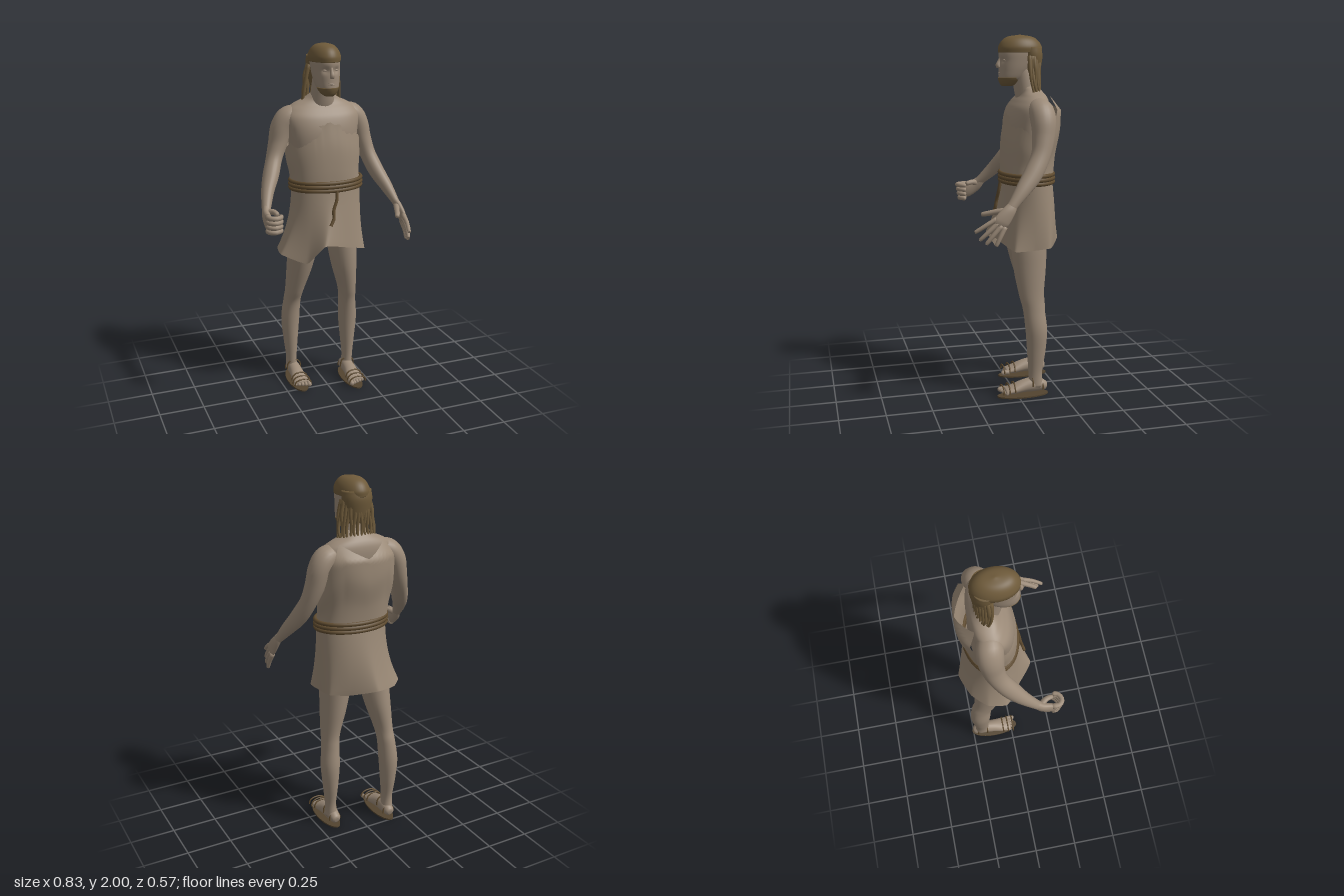
import * as THREE from 'three';

const V = (x, y, z) => new THREE.Vector3(x, y, z);
const X = V(1, 0, 0), Y = V(0, 1, 0), Z = V(0, 0, 1);
const mat = (name, color, side = THREE.FrontSide) => {
  const m = new THREE.MeshStandardMaterial({ color, side });
  m.name = name;
  return m;
};

// Sweep an oval through stations [x, y, z, ru, rv]; `flat` keeps sections level (stations go up).
function sweep(stations, o = {}) {
  const { n = 24, rows = 24, ref = X, flat = false, e = 2, caps = true, warp } = o;
  const path = new THREE.CatmullRomCurve3(stations.map(s => V(s[0], s[1], s[2])), false, 'catmullrom', 0.5);
  const radii = new THREE.CatmullRomCurve3(stations.map(s => V(s[3], s[4], 0)), false, 'catmullrom', 0.5);
  const pos = [], idx = [];
  const pw = c => Math.sign(c) * Math.pow(Math.abs(c), 2 / e);
  for (let i = 0; i <= rows; i++) {
    const f = i / rows, c = path.getPoint(f), r = radii.getPoint(f);
    const t = flat ? Y.clone() : path.getTangent(f);
    const u = ref.clone().addScaledVector(t, -t.dot(ref)).normalize();
    const v = u.clone().cross(t);
    for (let j = 0; j < n; j++) {
      const a = j / n * Math.PI * 2;
      const p = c.clone().addScaledVector(u, pw(Math.cos(a)) * r.x).addScaledVector(v, pw(Math.sin(a)) * r.y);
      if (warp) warp(p, a, f);
      pos.push(p.x, p.y, p.z);
      if (i < rows) {
        const k = (j + 1) % n, b = i * n, d = b + n;
        idx.push(b + j, d + j, b + k, b + k, d + j, d + k);
      }
    }
  }
  if (caps) {
    const s = stations[0], l = stations[stations.length - 1], q = pos.length / 3, b = rows * n;
    pos.push(s[0], s[1], s[2], l[0], l[1], l[2]);
    for (let j = 0; j < n; j++) {
      const k = (j + 1) % n;
      idx.push(q, j, k, q + 1, b + k, b + j);
    }
  }
  const g = new THREE.BufferGeometry();
  g.setAttribute('position', new THREE.Float32BufferAttribute(pos, 3));
  g.setIndex(idx);
  g.computeVertexNormals();
  return g;
}

// Piecewise-linear lookup in a table of [key, value]
function lookup(table, k) {
  for (let i = 1; i < table.length; i++) {
    const [a, va] = table[i - 1], [b, vb] = table[i];
    if (k <= b) return va + (vb - va) * (k - a) / (b - a);
  }
  return table[table.length - 1][1];
}

export function createModel() {
  const root = new THREE.Group();
  const skin = mat('tanSkin', 0x9b8a78);
  const cloth = mat('tanCloth', 0x9a8976, THREE.DoubleSide);
  const hair = mat('brownHair', 0x6e5a3a);
  const rope = mat('brownRope', 0x5f4b2f);
  const leather = mat('darkLeather', 0x53442f);
  const add = (name, geo, m) => {
    const mesh = new THREE.Mesh(geo, m);
    mesh.name = name;
    root.add(mesh);
    return mesh;
  };
  const tube = (name, pts, r, m, closed = false) =>
    add(name, new THREE.TubeGeometry(new THREE.CatmullRomCurve3(pts, closed), closed ? 80 : 20, r, 8, closed), m);
  // Tapering round digit or strand
  const digit = (name, pts, r, m = skin, ref = X, tip = 0.7) => {
    const l = pts.length - 1;
    const st = pts.map((p, i) => [...p, r * (1 - (1 - tip) * i / l), r * (1 - (1 - tip) * i / l)]);
    const a = pts[l - 1], b = pts[l], d = V(...b).sub(V(...a)).setLength(r * 0.4);
    st.push([b[0] + d.x, b[1] + d.y, b[2] + d.z, r * 0.2, r * 0.2]);
    add(name, sweep(st, { n: 10, rows: 12, ref }), m);
  };

  // Torso with sloping shoulders, and neck
  add('torso', sweep([[0, 1.2, -.08, .17, .11], [0, 1.4, -.083, .185, .117], [0, 1.52, -.08, .2, .114],
    [0, 1.6, -.092, .212, .106], [0, 1.645, -.105, .195, .09], [0, 1.675, -.112, .155, .073],
    [0, 1.7, -.108, .1, .06], [0, 1.73, -.095, .058, .052]],
    { flat: true, e: 2.3, n: 48, rows: 42 }), skin);
  add('neck', sweep([[0, 1.64, -.105, .08, .07], [0, 1.7, -.085, .068, .064], [0, 1.82, -.06, .06, .058]], { flat: true }), skin);

  // Head with hollow eye sockets
  add('head', sweep([[0, 1.735, .022, .03, .032], [0, 1.765, 0, .055, .067], [0, 1.81, -.02, .068, .086],
    [0, 1.86, -.035, .074, .1], [0, 1.91, -.045, .076, .112], [0, 1.96, -.05, .068, .1], [0, 1.985, -.05, .04, .06]],
    { flat: true, e: 2.1, n: 56, rows: 48, warp: p => {
      if (p.z > 0) p.z -= .011 * Math.exp(-(((Math.abs(p.x) - .03) / .018) ** 2) - ((p.y - 1.864) / .016) ** 2);
    } }), skin);
  add('nose', sweep([[0, 1.885, .056, .008, .008], [0, 1.86, .064, .009, .01], [0, 1.838, .072, .013, .013],
    [0, 1.826, .066, .012, .01]], { n: 14, rows: 12 }), skin);
  for (const s of [-1, 1]) {
    const eye = add('eye', new THREE.SphereGeometry(.011, 14, 10), skin);
    eye.position.set(s * .03, 1.864, .043);
    eye.scale.set(1.2, .6, .8);
  }
  [1.797, 1.789].forEach(y => {
    const lip = add('lip', new THREE.SphereGeometry(.02, 14, 8), skin);
    lip.position.set(0, y, .06);
    lip.scale.set(1, .25, .5);
  });
  add('beard', sweep([[0, 1.727, .022, .026, .03], [0, 1.74, .014, .042, .048], [0, 1.758, .007, .054, .062],
    [0, 1.773, .002, .06, .07]], { flat: true, rows: 12 }), hair);

  // Hair cap, back hair and hanging locks
  add('hairCap', sweep([[0, 1.905, -.052, .083, .122], [0, 1.935, -.052, .084, .121], [0, 1.968, -.051, .069, .102],
    [0, 1.99, -.05, .044, .068], [0, 2, -.05, .004, .006]], { flat: true, n: 40, rows: 30 }), hair);
  add('backHair', sweep([[0, 1.77, -.112, .058, .045], [0, 1.83, -.11, .074, .058], [0, 1.89, -.108, .083, .067],
    [0, 1.935, -.1, .081, .066]], { flat: true, rows: 14 }), hair);
  for (let i = 0; i <= 16; i++) {
    const a = Math.PI * i / 16, c = Math.cos(a), s = Math.sin(a), low = 1.675 + .03 * Math.sin(i * 2.4);
    const sway = .006 * Math.sin(i * 4.1);
    digit('hairLock', [[.076 * c, 1.885, -.085 - .065 * s], [.093 * c + sway, 1.82, -.083 - .075 * s],
      [.102 * c - sway, 1.745, -.09 - .065 * s], [.11 * c + sway, low, -.105 - .055 * s]], .0125, hair, Z, .45);
  }

  // Arms: shoulders mirror, forearms differ
  const arm = (name, s, fore) => add(name, sweep([[s * .11, 1.615, -.105, .05, .045], [s * .18, 1.605, -.115, .068, .06],
    [s * .223, 1.55, -.12, .069, .06], [s * .25, 1.46, -.113, .06, .052], ...fore], { ref: Z, rows: 40 }), skin);
  arm('leftArm', 1, [[.278, 1.37, -.09, .052, .044], [.31, 1.28, -.04, .051, .043], [.345, 1.2, .025, .04, .034],
    [.37, 1.135, .08, .028, .023], [.379, 1.11, .1, .028, .018]]);
  arm('rightArm', -1, [[-.28, 1.38, -.09, .052, .044], [-.315, 1.3, -.04, .051, .043], [-.352, 1.23, .02, .04, .034],
    [-.38, 1.165, .085, .028, .025], [-.389, 1.14, .11, .028, .02]]);

  // Open left hand
  add('leftPalm', sweep([[.37, 1.135, .08, .024, .019], [.383, 1.1, .108, .034, .02], [.39, 1.055, .145, .041, .018],
    [.391, 1.03, .168, .034, .012]], { ref: Z }), skin);
  [[[.386, 1.065, .172], [.384, 1.035, .225], [.372, 1.0, .28]], [[.39, 1.045, .165], [.39, 1.0, .215], [.38, .96, .258]],
    [[.393, 1.03, .15], [.397, .98, .195], [.392, .94, .228]], [[.394, 1.022, .132], [.403, .97, .16], [.404, .93, .18]]]
    .forEach(p => digit('leftFinger', p, .014));
  digit('leftThumb', [[.374, 1.105, .105], [.352, 1.097, .16], [.334, 1.087, .205], [.32, 1.08, .235]], .017, skin, Y);

  // Curled right hand
  add('rightPalm', sweep([[-.38, 1.165, .085, .025, .022], [-.392, 1.13, .12, .036, .023], [-.398, 1.107, .165, .045, .02],
    [-.4, 1.1, .195, .044, .014]], { ref: Y }), skin);
  for (let i = 0; i < 4; i++) {
    const y = 1.138 - i * .026, k = i * .004;
    digit('rightFinger', [[-.402, y, .175], [-.4, y, .215 - k], [-.372, y, .232 - k], [-.342, y, .217 - k], [-.334, y, .193]],
      .0152, skin, Y, .8);
  }
  digit('rightThumb', [[-.385, 1.142, .115], [-.362, 1.152, .145], [-.35, 1.146, .18]], .018, skin, Y);

  // Legs, feet and sandals; the right leg stands further back
  for (const s of [1, -1]) {
    const side = s > 0 ? 'left' : 'right', back = y => s > 0 ? 0 : -.088 * Math.min(1, Math.max(0, (.97 - y) / .47));
    add(side + 'Leg', sweep([[.16, .05, -.105, .034, .045], [.163, .13, -.1, .031, .039], [.165, .25, -.105, .042, .052],
      [.165, .38, -.105, .053, .061], [.157, .5, -.092, .049, .062], [.15, .58, -.08, .052, .07],
      [.13, .72, -.075, .071, .09], [.115, .86, -.075, .084, .1], [.1, 1, -.08, .085, .105]]
      .map(([x, y, z, a, b]) => [s * x, y, z + back(y), a, b]), { flat: true, rows: 48, n: 28 }), skin);
    const dz = s > 0 ? 0 : -.08, x = s * .157;
    add(side + 'Foot', sweep([[x, .045, -.168, .014, .014], [x, .048, -.155, .028, .028], [x, .06, -.1, .036, .042],
      [x, .055, -.035, .039, .036], [x, .041, .03, .046, .024], [x, .034, .075, .045, .015]]
      .map(p => [p[0], p[1], p[2] + dz, p[3], p[4]]), { rows: 30 }), skin);
    for (let i = 0; i < 5; i++) {
      const tx = x + s * (i - 2) * .019, tz = .102 - i * .007 + dz;
      digit('toe', [[tx, .034, .06 + dz], [tx, .034, tz - .015], [tx, .028, tz]], i ? .0105 : .014, skin, X, .85);
    }
    const sole = add(side + 'Sole', new THREE.CylinderGeometry(1, 1, .008, 40), leather);
    sole.scale.set(.054, 1, .147);
    sole.position.set(x, .004, -.03 + dz);
    for (const [z, low, h, w] of [[.09, .03, .064, .05], [.057, .03, .071, .051], [.025, .035, .077, .047],
      [-.08, .06, .112, .042], [-.14, .035, .075, .034]])
      tube('sandalStrap', [V(x - w, low, z + dz), V(x - w * .9, h * .6 + low * .4, z + dz), V(x - w * .45, h, z + dz),
        V(x + w * .45, h, z + dz), V(x + w * .9, h * .6 + low * .4, z + dz), V(x + w, low, z + dz)], .0042, rope);
  }

  // Tunic top: ragged front edge, open sides, high loose back
  const edge = [[0, 1.43], [35, 1.5], [60, 1.535], [90, 1.58], [120, 1.545], [145, 1.5], [180, 1.43],
    [212, 1.58], [235, 1.68], [270, 1.605], [305, 1.68], [328, 1.58], [360, 1.43]];
  add('tunicTop', sweep([[.02, 1.2, -.083, .2, .135], [.012, 1.32, -.09, .198, .145], [.01, 1.45, -.107, .21, .156],
    [.01, 1.57, -.118, .213, .145]], { flat: true, e: 2.3, n: 96, rows: 30, caps: false, warp: (p, a, f) => {
    const d = a * 180 / Math.PI;
    let top = lookup(edge, d);
    if (d > 35 && d < 145) top = Math.round(top / .014) * .014;
    p.y = 1.2 + f * (top - 1.2);
    if (d > 180 && p.y > 1.6) p.z += (p.y - 1.6) * .8;
  } }), cloth);

  // Skirt: hangs close from the waist, then flares to an uneven pointed hem
  const hem = new THREE.CatmullRomCurve3([[.21, .845, -.08], [.215, .845, .03], [.09, .88, .085], [-.06, .915, .13],
    [-.14, .8, .05], [-.262, .84, -.04], [-.25, .85, -.15], [-.17, .85, -.235], [-.04, .865, -.285],
    [.1, .845, -.22], [.2, .85, -.17]].map(p => V(...p)), true, 'catmullrom', .25);
  add('skirt', sweep([[.02, .85, -.083, .2, .138], [.02, 1.22, -.083, .2, .138]],
    { flat: true, n: 110, rows: 24, caps: false, warp: (p, a, f) => {
      const h = hem.getPoint(a / (Math.PI * 2)), g = 1 - f;
      const w = Math.pow(g, 2.3), bulge = Math.sin(Math.PI * Math.pow(f, .85));
      p.set(p.x + (h.x - p.x) * w, 1.22 + (h.y - 1.22) * g, p.z + (h.z - p.z) * w);
      p.z += Math.sin(a) * bulge * (Math.sin(a) < 0 ? .016 : .012);
    } }), cloth);

  // Rope belt in three turns with a hanging end
  [1.209, 1.23, 1.251].forEach((y, k) => {
    const pts = [];
    for (let i = 0; i < 32; i++) {
      const a = i / 32 * Math.PI * 2;
      pts.push(V(.02 + .205 * Math.cos(a), y, -.083 + .143 * Math.sin(a)));
    }
    tube('ropeBelt', pts, k === 1 ? .0125 : .0115, rope, true);
  });
  tube('ropeEnd', [V(.03, 1.21, .067), V(.026, 1.16, .075), V(.005, 1.1, .083), V(.004, 1.06, .09), V(-.018, 1.02, .1)], .0095, rope);
  return root;
}
